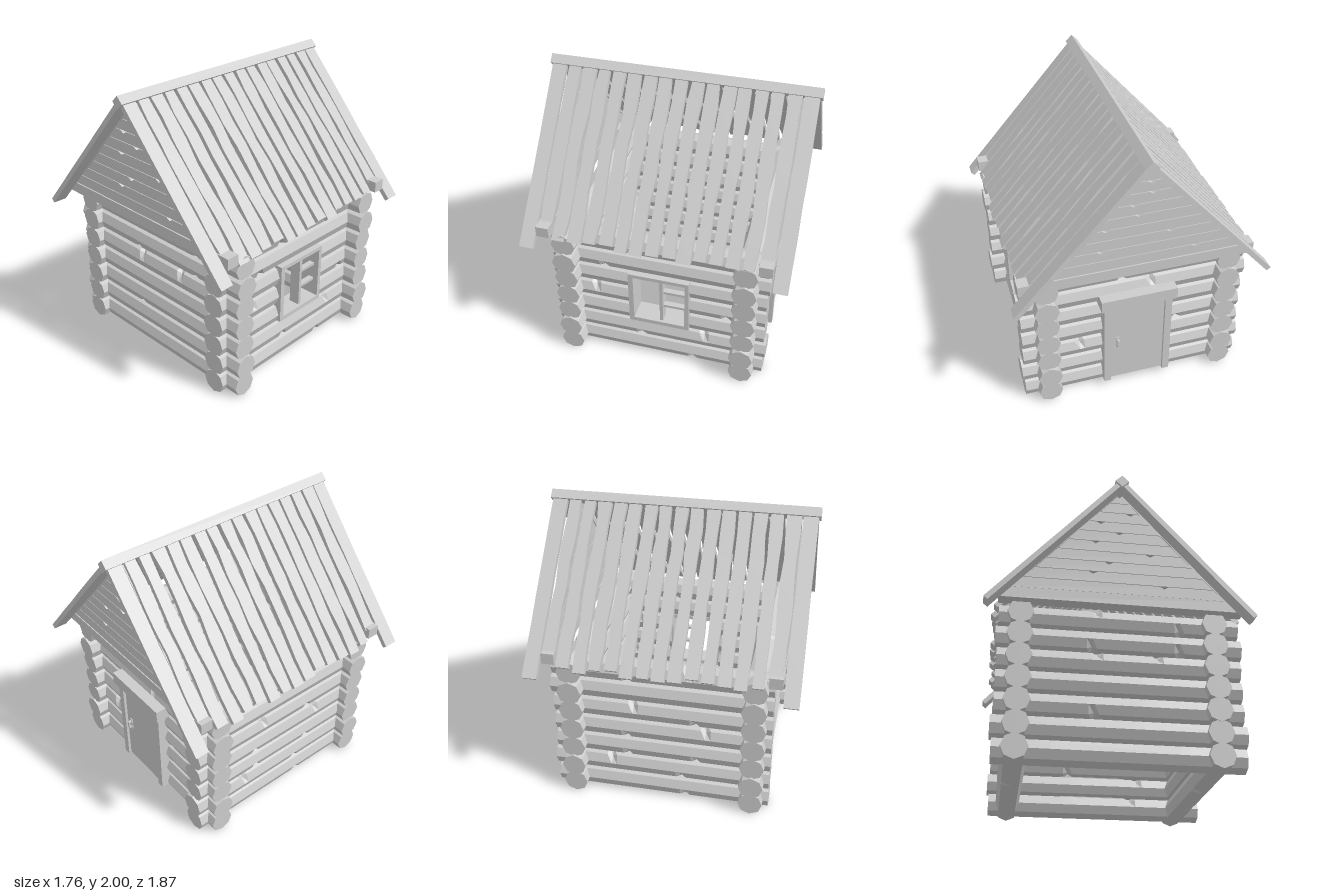
import * as THREE from 'three';

const mat = new THREE.MeshStandardMaterial({ color: 0xcccccc, flatShading: true });

// Small seeded generator for hand-cut irregularity
let seed = 7;
const rnd = (a, b) => {
  seed = (seed * 16807) % 2147483647;
  return a + (b - a) * (seed / 2147483647);
};

function add(parent, geo, name, x = 0, y = 0, z = 0) {
  const m = new THREE.Mesh(geo, mat);
  m.name = name;
  m.position.set(x, y, z);
  parent.add(m);
  return m;
}

const box = (parent, name, x0, x1, y0, y1, z0, z1) =>
  add(parent, new THREE.BoxGeometry(x1 - x0, y1 - y0, z1 - z0), name,
    (x0 + x1) / 2, (y0 + y1) / 2, (z0 + z1) / 2);

// Eight-sided log along +x from a to b, with dents made by pushing single corners inward
const R = 0.085;
function logGeometry(a, b, dents) {
  const stations = [a];
  for (const d of dents) stations.push(d - 0.035, d, d + 0.035);
  stations.push(b);
  const n = stations.length;
  const g = new THREE.CylinderGeometry(R, R, 1, 8, n - 1);
  const p = g.attributes.position;
  const corners = dents.map((_, i) => [1, 3, 5, 7][(i + Math.floor(rnd(0, 4))) % 4]);
  // Cylinder rows run from +y down; torso vertices come first, nine per row
  for (let i = 0; i < p.count; i++) {
    const torso = i < n * 9;
    const row = torso ? Math.floor(i / 9) : (p.getY(i) > 0 ? 0 : n - 1);
    p.setY(i, stations[n - 1 - row]);
    const st = n - 1 - row;
    const k = (st - 2) / 3;
    if (torso && Number.isInteger(k) && k >= 0 && k < dents.length && i % 9 === corners[k]) {
      p.setX(i, p.getX(i) * 0.72);
      p.setZ(i, p.getZ(i) * 0.72);
    }
  }
  g.rotateZ(-Math.PI / 2);
  return g;
}

// Log walls, with an opening for the window in the +x wall
const ROWS = 7, STEP = 0.152;
function buildWalls(root) {
  const walls = new THREE.Group();
  walls.name = 'logWalls';
  root.add(walls);
  for (let r = 0; r < ROWS; r++) {
    const y = R + r * STEP;
    const long = r % 4 === 1 ? 0.015 : 0;
    for (const s of [1, -1]) {
      add(walls, logGeometry(-0.78 - long, 0.81 + long, [rnd(-0.45, -0.1), rnd(0.1, 0.45)]),
        'crossLog', 0, y, s * 0.63);
      // Local +x of a side log points to -z
      const cut = s === 1 && r >= 2 && r <= 4;
      const spans = cut ? [[-0.755, -0.18], [0.215, 0.77]] : [[-0.75, 0.77 + long]];
      for (const [a, b] of spans) {
        const mid = (a + b) / 2;
        const dents = cut ? [mid + rnd(-0.05, 0.05)] : [rnd(-0.4, -0.1), rnd(0.1, 0.4)];
        add(walls, logGeometry(a, b, dents), 'sideLog', s * 0.64, y, 0).rotation.y = Math.PI / 2;
      }
    }
  }
}

// Gables: a wide bottom beam and stacked boards trimmed to the roof slope
const SLOPE = 1.13;
function buildGables(root) {
  const halfAt = (y) => (1.945 - y) / SLOPE;
  for (const s of [1, -1]) {
    const gable = new THREE.Group();
    gable.name = s > 0 ? 'frontGable' : 'backGable';
    root.add(gable);
    box(gable, 'gableBeam', -0.79, 0.825, 1.06, 1.138, s * 0.76 - 0.045, s * 0.76 + 0.045);
    for (let i = 0; i < 10; i++) {
      const y0 = 1.142 + i * 0.08, y1 = Math.min(y0 + 0.076, 1.94);
      const a = halfAt(y0), b = halfAt(y1), c = rnd(-0.6, 0.6) * b;
      const pts = [[-a, y0], [a, y0], [b, y1]];
      if (b > 0.12) pts.push([c + 0.03, y1], [c, y1 - 0.018], [c - 0.03, y1]);
      pts.push([-b, y1]);
      const shape = new THREE.Shape(pts.map(([x, y]) => new THREE.Vector2(x, y)));
      add(gable, new THREE.ExtrudeGeometry(shape, { depth: 0.08, bevelEnabled: false }),
        'gableBoard', 0, 0, s * 0.76 - 0.04);
    }
  }
}

// Rough roof plank lying along +x with wavy long edges
function plankGeometry(start, end, width, wave) {
  const g = new THREE.BoxGeometry(end - start, 0.035, width, 7, 1, 1);
  const p = g.attributes.position;
  const edge = {};
  for (let i = 0; i < p.count; i++) {
    const side = Math.sign(p.getZ(i));
    const key = `${side}:${p.getX(i).toFixed(3)}`;
    edge[key] ??= rnd(-wave, wave);
    p.setZ(i, p.getZ(i) + edge[key]);
  }
  g.translate((start + end) / 2, -0.0175, 0);
  g.computeVertexNormals();
  return g;
}

function buildRoof(root) {
  const PLANKS = 17;
  for (const s of [1, -1]) {
    const turn = new THREE.Group();
    turn.name = s > 0 ? 'leftRoof' : 'rightRoof';
    turn.rotation.y = s > 0 ? 0 : Math.PI;
    const slope = new THREE.Group();
    slope.name = 'roofSlope';
    slope.position.y = 1.985;
    slope.rotation.z = -Math.atan(SLOPE);
    turn.add(slope);
    root.add(turn);
    for (let i = 0; i < PLANKS; i++) {
      const fromEnd = Math.min(i, PLANKS - 1 - i);
      const end = fromEnd === 0 ? 1.328 : fromEnd === 1 ? 1.155 : rnd(1.215, 1.26);
      const wave = fromEnd === 0 ? 0.002 : 0.009;
      add(slope, plankGeometry(0.035, end, fromEnd === 0 ? 0.1 : 0.086, wave),
        'roofPlank', 0, 0, -0.866 + i * 0.10825);
    }
  }
  // Square ridge beam set on its corner
  add(root, new THREE.BoxGeometry(0.066, 0.066, 1.865), 'ridgeBeam', 0, 1.953, 0)
    .rotation.z = Math.PI / 4;
}

// Window frame with a centre post and cross bars in one sash
function buildWindow(root) {
  const w = new THREE.Group();
  w.name = 'window';
  root.add(w);
  const X0 = 0.58, X1 = 0.74;
  box(w, 'windowSill', X0, X1, 0.34, 0.372, -0.235, 0.2);
  box(w, 'windowHead', X0, X1, 0.752, 0.78, -0.235, 0.2);
  box(w, 'windowJamb', X0, X1, 0.372, 0.752, 0.165, 0.2);
  box(w, 'windowJamb', X0, X1, 0.372, 0.752, -0.235, -0.205);
  box(w, 'windowPost', 0.64, 0.72, 0.372, 0.752, -0.043, -0.02);
  for (const y of [0.5, 0.625]) box(w, 'windowBar', 0.66, 0.7, y - 0.01, y + 0.01, -0.205, -0.043);
}

// Door with jambs, lintel and pull handle on the back wall
function buildDoor(root) {
  const d = new THREE.Group();
  d.name = 'door';
  root.add(d);
  box(d, 'doorPanel', -0.2, 0.2, 0.07, 0.77, -0.745, -0.6);
  for (const s of [1, -1]) {
    box(d, 'doorJamb', s * 0.22 - 0.025, s * 0.22 + 0.025, 0.06, 0.77, -0.765, -0.6);
  }
  box(d, 'doorLintel', -0.27, 0.27, 0.76, 0.85, -0.79, -0.6);
  box(d, 'handlePlate', 0.13, 0.155, 0.37, 0.46, -0.752, -0.74);
  box(d, 'handleGrip', 0.135, 0.15, 0.385, 0.445, -0.777, -0.765);
  for (const y of [0.39, 0.44]) box(d, 'handlePost', 0.135, 0.15, y - 0.006, y + 0.006, -0.768, -0.75);
}

export function createModel() {
  seed = 7;
  const root = new THREE.Group();
  root.name = 'logCabin';
  buildWalls(root);
  buildGables(root);
  buildRoof(root);
  buildWindow(root);
  buildDoor(root);
  return root;
}
